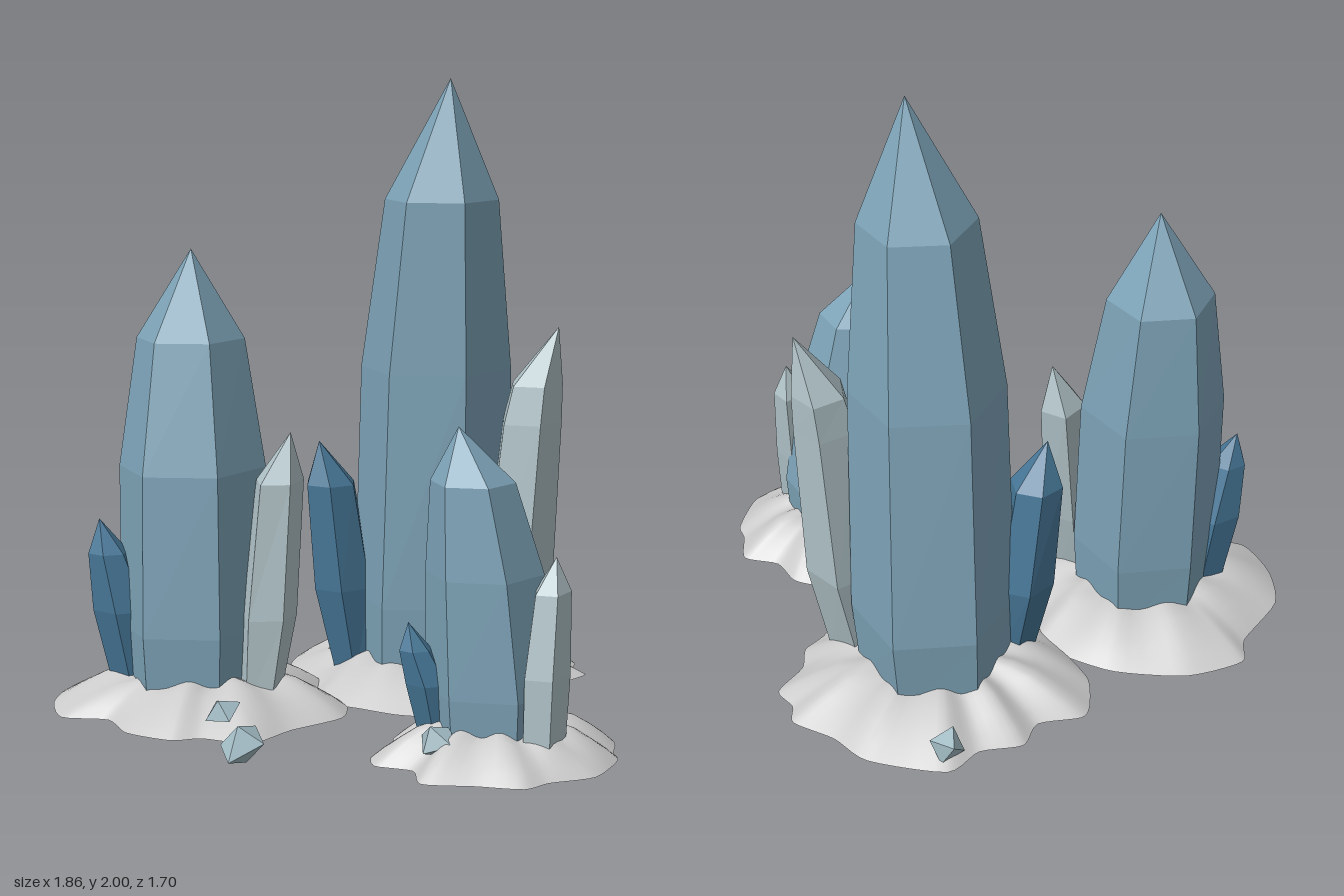
import * as THREE from 'three';

const material = (color, flatShading = true) => new THREE.MeshStandardMaterial({ color, flatShading });
const BLUE = material(0x7da3b7);
const PALE = material(0xb0c2c7);
const DEEP = material(0x467696);
const SHARD = material(0xa3bcc5);
const ROCK = material(0xcccccc, false);

function meshFrom(name, positions, index, mat) {
  let geometry = new THREE.BufferGeometry();
  geometry.setAttribute('position', new THREE.Float32BufferAttribute(positions, 3));
  geometry.setIndex(index);
  if (mat.flatShading) geometry = geometry.toNonIndexed();
  geometry.computeVertexNormals();
  const mesh = new THREE.Mesh(geometry, mat);
  mesh.name = name;
  return mesh;
}

// Faceted crystal: rings of [x, y, z, radiusX, radiusZ] from the bottom up, closed by an apex
function crystal(name, mat, sides, phase, rings, apex) {
  const pos = [], index = [];
  for (const [x, y, z, rx, rz = rx] of rings) {
    for (let i = 0; i < sides; i++) {
      const a = THREE.MathUtils.degToRad(phase) + (i / sides) * Math.PI * 2;
      pos.push(x + rx * Math.cos(a), y, z + rz * Math.sin(a));
    }
  }
  const top = pos.length / 3;
  pos.push(...apex, rings[0][0], rings[0][1], rings[0][2]);
  const last = (rings.length - 1) * sides;
  for (let i = 0; i < sides; i++) {
    const n = (i + 1) % sides;
    for (let j = 0; j < last; j += sides) {
      const a = j + i, b = j + n, c = a + sides, d = b + sides;
      index.push(a, c, b, b, c, d);
    }
    index.push(last + i, top, last + n, top + 1, i, n);
  }
  return meshFrom(name, pos, index, mat);
}

// Low scalloped mound: the outline shrinks towards the centre while it rises
function mound(cx, cz, folds, outline) {
  const points = outline.map(([x, z]) => new THREE.Vector3(x, 0, z));
  const edge = new THREE.CatmullRomCurve3(points, true, 'catmullrom', 0.35).getPoints(outline.length * 5).slice(0, -1);
  const n = edge.length;
  const profile = [[1, 0.05], [0.9, 0.08], [0.78, 0.11], [0.64, 0.14], [0.5, 0.155], [0.25, 0.16]];
  const pos = [], index = [];
  for (const [t, y] of profile) {
    for (const p of edge) {
      const x = p.x - cx, z = p.z - cz;
      // Soft radial folds, fading out at the rim and the centre
      const fold = 0.04 * t * (1 - t) * Math.cos(folds * Math.atan2(z, x));
      pos.push(cx + x * t, y + fold, cz + z * t);
    }
  }
  const centre = pos.length / 3;
  pos.push(cx, 0.16, cz);
  const under = centre + 1;
  // Flat underside with its own vertices
  for (const p of edge) pos.push(p.x, 0.05, p.z);
  pos.push(cx, 0.05, cz);
  const last = (profile.length - 1) * n;
  for (let i = 0; i < n; i++) {
    const k = (i + 1) % n;
    for (let j = 0; j < last; j += n) {
      const a = j + i, b = j + k, c = a + n, d = b + n;
      index.push(a, c, b, b, c, d);
    }
    index.push(last + k, last + i, centre, under + n, under + i, under + k);
  }
  return meshFrom('rockMound', pos, index, ROCK);
}

function cluster(name, ...parts) {
  const group = new THREE.Group();
  group.name = name;
  group.add(...parts);
  return group;
}

export function createModel() {
  const model = new THREE.Group();
  model.name = 'crystalFormation';

  // Tall cluster at the back
  model.add(cluster('tallCluster',
    mound(0.11, -0.36, 11, [
      [-0.38, -0.47], [-0.36, -0.53], [-0.23, -0.58], [-0.2, -0.69], [-0.07, -0.74], [0.01, -0.85],
      [0.26, -0.83], [0.38, -0.74], [0.52, -0.68], [0.54, -0.6], [0.6, -0.53], [0.55, -0.4],
      [0.56, -0.3], [0.51, -0.2], [0.54, -0.05], [0.39, 0.02], [0.3, 0.11], [0.17, 0.13],
      [0.03, 0.1], [-0.12, 0.07], [-0.17, -0.06], [-0.27, -0.2], [-0.36, -0.33]]),
    crystal('mainCrystal', BLUE, 6, 48, [
      [0.12, 0.06, -0.35, 0.24, 0.28], [0.13, 0.33, -0.355, 0.255, 0.3],
      [0.145, 1.08, -0.325, 0.24, 0.258], [0.175, 1.62, -0.285, 0.18, 0.195]], [0.21, 2, -0.26]),
    crystal('paleCrystal', PALE, 5, -20, [
      [0.37, 0.07, -0.26, 0.11, 0.12], [0.42, 0.4, -0.3, 0.12, 0.145],
      [0.46, 0.92, -0.32, 0.1, 0.12], [0.475, 1.04, -0.33, 0.085, 0.105]], [0.55, 1.225, -0.33]),
    crystal('deepCrystal', DEEP, 6, 10, [
      [-0.1, 0.07, -0.24, 0.07], [-0.14, 0.36, -0.24, 0.1, 0.12],
      [-0.175, 0.7, -0.215, 0.085, 0.09]], [-0.205, 0.84, -0.19])));

  // Middle cluster on the right
  model.add(cluster('middleCluster',
    mound(-0.46, 0.17, 9, [
      [-0.84, -0.05], [-0.84, -0.17], [-0.67, -0.27], [-0.44, -0.28], [-0.27, -0.22], [-0.17, -0.15],
      [-0.15, -0.03], [-0.02, 0.07], [0.02, 0.22], [-0.08, 0.4], [-0.14, 0.57], [-0.3, 0.57],
      [-0.38, 0.62], [-0.54, 0.59], [-0.65, 0.48], [-0.8, 0.5], [-0.9, 0.35], [-0.93, 0.17]]),
    crystal('mainCrystal', BLUE, 6, 46, [
      [-0.49, 0.06, 0.165, 0.22, 0.25], [-0.49, 0.3, 0.165, 0.235, 0.27],
      [-0.5, 0.8, 0.155, 0.23, 0.25], [-0.515, 1.2, 0.125, 0.17, 0.18]], [-0.505, 1.48, 0.14]),
    crystal('paleCrystal', PALE, 5, 36, [
      [-0.25, 0.07, 0.23, 0.065], [-0.23, 0.35, 0.2, 0.09, 0.1],
      [-0.21, 0.77, 0.155, 0.075, 0.1]], [-0.18, 0.92, 0.13]),
    crystal('deepCrystal', DEEP, 6, 20, [
      [-0.66, 0.07, 0.22, 0.08], [-0.7, 0.35, 0.25, 0.098],
      [-0.74, 0.53, 0.27, 0.065]], [-0.77, 0.635, 0.27])));

  // Small cluster at the front left
  model.add(cluster('smallCluster',
    mound(0.58, 0.42, 10, [
      [0.24, 0.37], [0.28, 0.25], [0.3, 0.12], [0.4, 0.1], [0.52, 0.05], [0.67, 0.07], [0.75, 0.16],
      [0.87, 0.18], [0.9, 0.3], [0.93, 0.37], [0.91, 0.55], [0.8, 0.65], [0.75, 0.73], [0.61, 0.75],
      [0.46, 0.78], [0.4, 0.67], [0.28, 0.66], [0.24, 0.57], [0.28, 0.48]]),
    crystal('mainCrystal', BLUE, 6, 52, [
      [0.565, 0.06, 0.42, 0.185, 0.19], [0.565, 0.25, 0.42, 0.2, 0.21],
      [0.545, 0.6, 0.45, 0.175, 0.18], [0.515, 0.87, 0.475, 0.125, 0.13]], [0.475, 1.03, 0.487]),
    crystal('paleCrystal', PALE, 5, -20, [
      [0.735, 0.07, 0.5, 0.065, 0.085], [0.74, 0.32, 0.485, 0.07, 0.1],
      [0.75, 0.56, 0.46, 0.055, 0.078]], [0.76, 0.66, 0.45]),
    crystal('deepCrystal', DEEP, 6, 20, [
      [0.42, 0.07, 0.48, 0.055], [0.39, 0.27, 0.5, 0.07],
      [0.355, 0.37, 0.515, 0.05]], [0.335, 0.45, 0.52])));

  // Loose shards: [x, y, z, scaleX, scaleY, scaleZ, turn, lean]
  const shards = [
    [-0.1, 0.1, 0.74, 0.07, 0.06, 0.11, 0, 0.25],
    [0.02, 0.105, -0.79, 0.06, 0.06, 0.06, 0.5, 0.5],
    [0.44, 0.1, 0.08, 0.07, 0.055, 0.06, 0.4, 0.4],
    [0.39, 0.11, 0.21, 0.07, 0.05, 0.035, 0.1, 0.3],
    [-0.26, 0.12, 0.5, 0.06, 0.045, 0.06, 0.7, 0.4],
    [0.46, 0.135, 0.63, 0.07, 0.055, 0.06, -0.5, 0.6],
    [0.47, 0.042, 0.6, 0.07, 0.045, 0.04, 0.3, 0.3],
    [-0.34, 0.055, 0.1, 0.05, 0.035, 0.04, 0.4, 0.3],
    [0.19, 0.055, -0.2, 0.06, 0.035, 0.04, -0.3, 0.3],
    [0.05, 0.055, -0.42, 0.06, 0.035, 0.05, 0.8, 0.2]];
  for (const [x, y, z, sx, sy, sz, turn, lean] of shards) {
    const shard = new THREE.Mesh(new THREE.OctahedronGeometry(1), SHARD);
    shard.name = 'looseShard';
    shard.position.set(x, y, z);
    shard.scale.set(sx, sy, sz);
    shard.rotation.set(lean, turn, lean * 0.5);
    model.add(shard);
  }
  return model;
}
